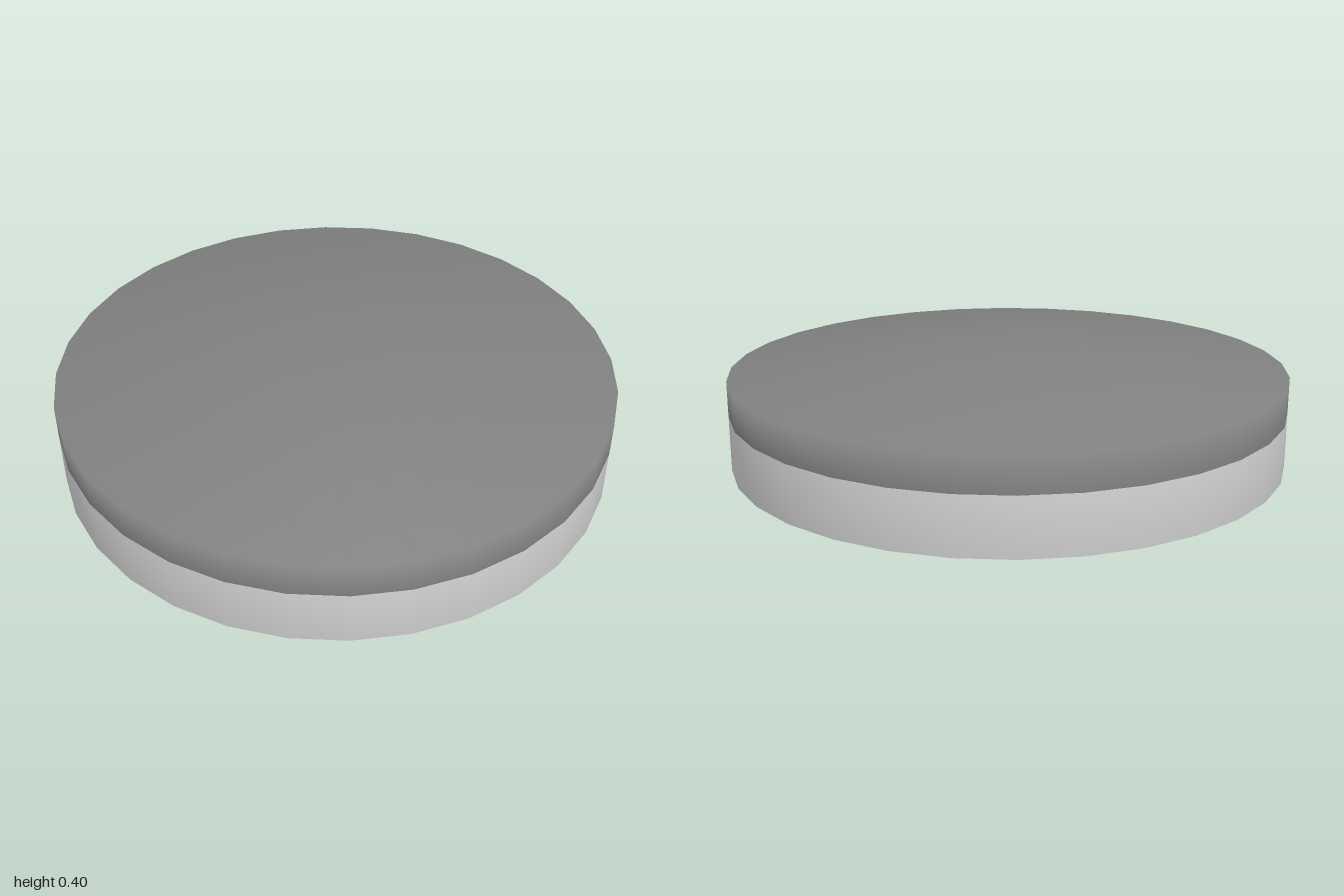
import * as THREE from 'three';

const SIDES = 32;

export function createModel() {
  const group = new THREE.Group();
  const material = (name, color) => {
    const m = new THREE.MeshStandardMaterial({ color });
    m.name = name;
    return m;
  };
  const grey = material('mid grey', 0x808080);
  const pale = material('pale grey', 0xd6d6d6);
  const red = material('red', 0xc80c0c);

  // Revolved profile, listed from the underside centre outwards and up
  const turn = (name, points, mat) => {
    const profile = points.map(([r, y]) => new THREE.Vector2(r, y));
    const mesh = new THREE.Mesh(new THREE.LatheGeometry(profile, SIDES), mat);
    mesh.name = name;
    group.add(mesh);
  };

  // Domed upper shell, smooth across the rim
  turn('upperShell', [[1, 0.2], [1, 0.325], [0.275, 0.4], [0, 0.4]], grey);

  // Pale lower wall with its narrow foot ring
  turn('lowerWall', [[0.967, 0], [1, 0], [1, 0.2]], pale);

  // Shallow hollow underside made of concentric coloured rings
  const radii = [0, 0.114, 0.326, 0.636, 0.875, 0.967];
  const hollow = (r) => 0.103 * (0.967 - r);
  for (let i = 0; i < radii.length - 1; i++) {
    const [a, b] = [radii[i], radii[i + 1]];
    turn(`undersideRing${i + 1}`, [[a, hollow(a)], [b, hollow(b)]], i % 2 ? red : grey);
  }

  return group;
}
